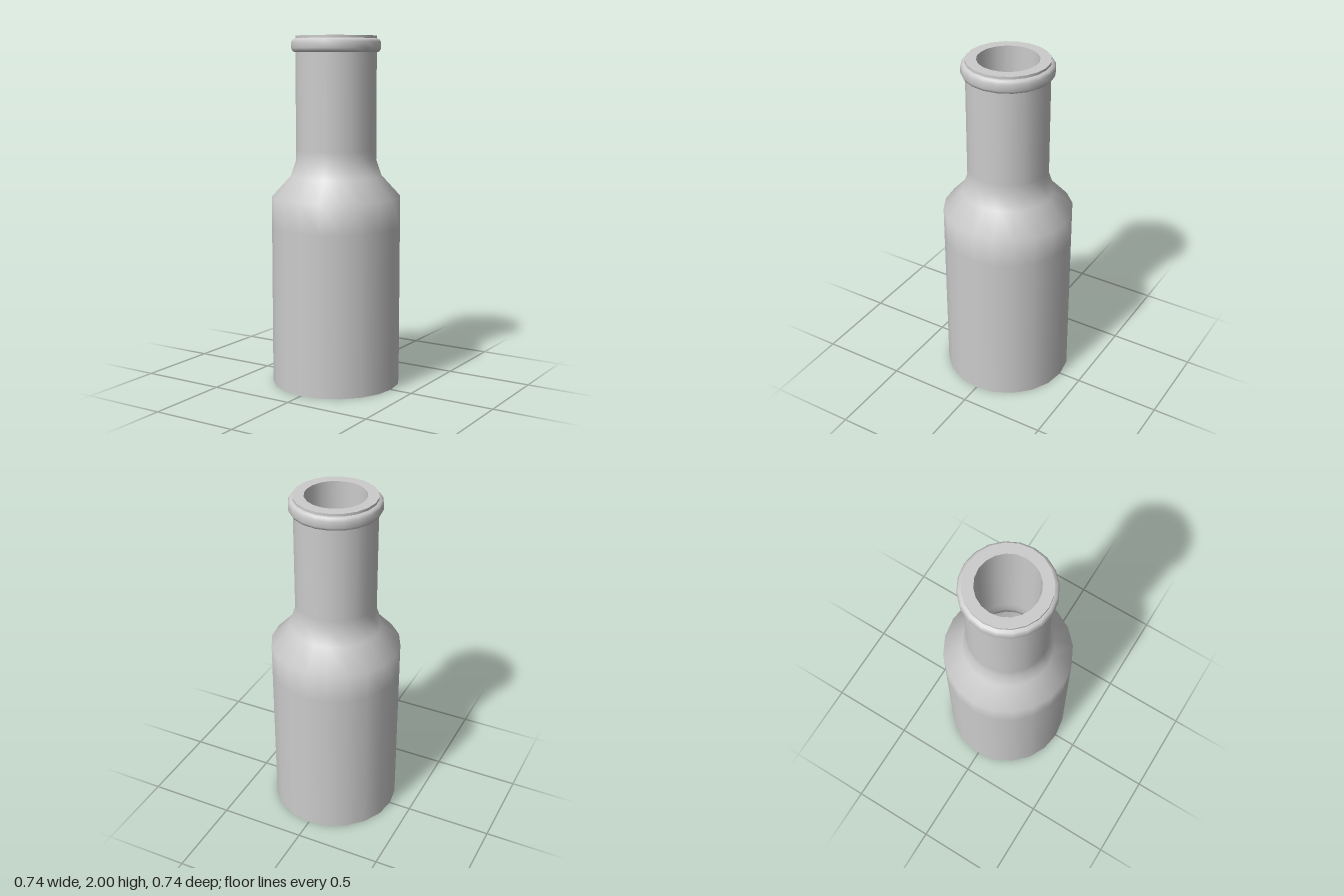
import * as THREE from 'three';

const SIDES = 20;
const material = new THREE.MeshStandardMaterial({ color: 0xcccccc });

// Each profile is smooth within itself; separate profiles meet at a sharp edge.
function turned(name, profile) {
  const points = profile.map(([r, y]) => new THREE.Vector2(r, y));
  const mesh = new THREE.Mesh(new THREE.LatheGeometry(points, SIDES), material);
  mesh.name = name;
  return mesh;
}

export function createModel() {
  const bottle = new THREE.Group();
  bottle.name = 'bottle';

  bottle.add(
    // Outside, from the base upwards
    turned('base', [[0, 0], [0.37, 0]]),
    turned('body', [
      [0.37, 0], [0.37, 0.92], [0.37, 1.09], [0.26, 1.21], [0.23, 1.3], [0.23, 1.36], [0.23, 1.91],
    ]),
    // Rounded bead around the mouth
    turned('bead', [
      [0.23, 1.908], [0.245, 1.913], [0.254, 1.93], [0.254, 1.965], [0.245, 1.98], [0.23, 1.985],
    ]),
    turned('lip', [[0.23, 1.985], [0.23, 2]]),
    turned('mouthRim', [[0.23, 2], [0.17, 2]]),
    // Inside, from the mouth down to the floor
    turned('innerWall', [
      [0.17, 2], [0.17, 1.36], [0.17, 1.29], [0.2, 1.18], [0.31, 1.06], [0.31, 0.9], [0.31, 0.06],
    ]),
    turned('innerFloor', [[0.31, 0.06], [0, 0.06]]),
  );

  return bottle;
}
